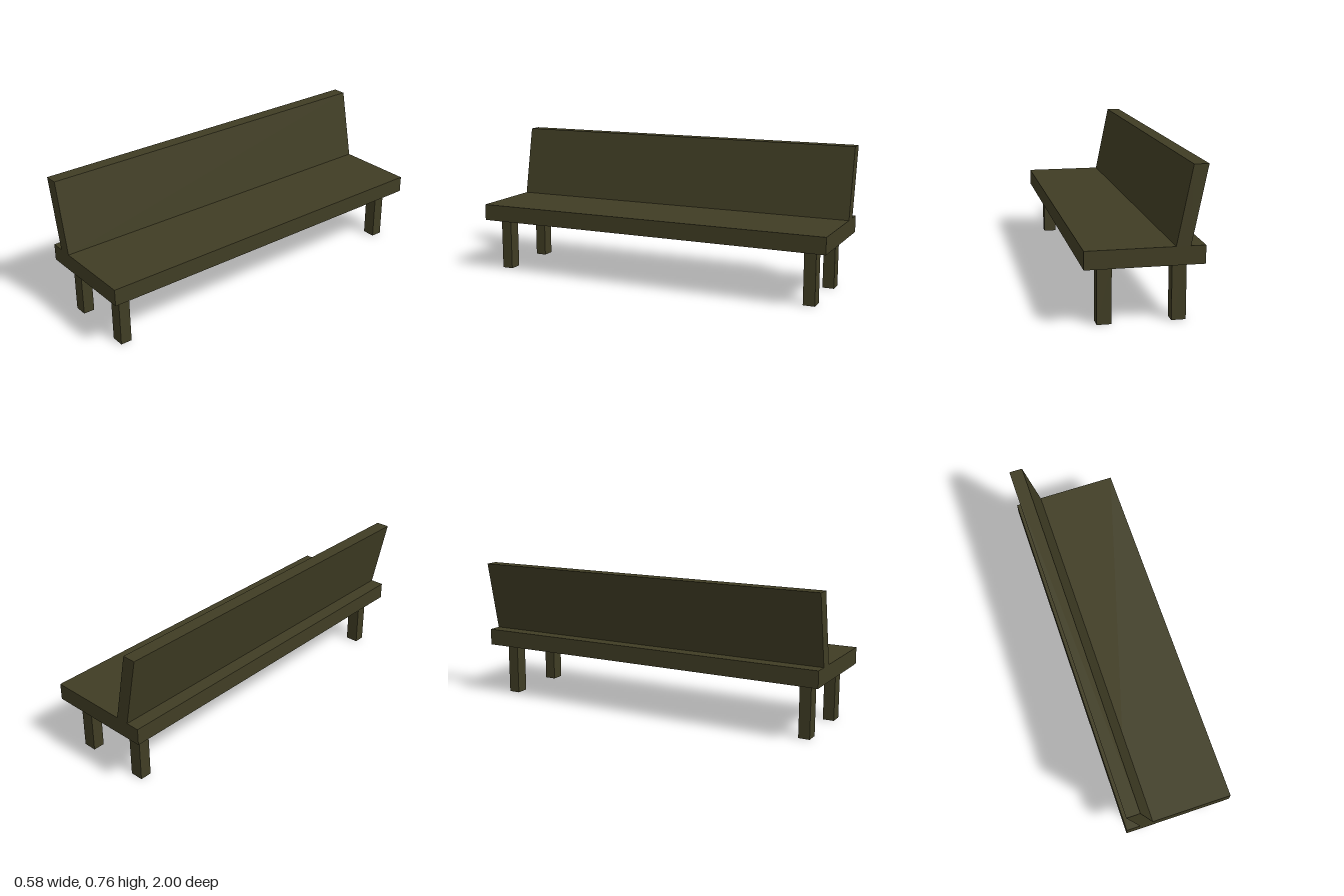
import * as THREE from 'three';

const LENGTH = 2;
const SEAT_BOTTOM = 0.29;
const SEAT_TOP = 0.38;

export function createModel() {
  const bench = new THREE.Group();
  bench.name = 'bench';
  const wood = new THREE.MeshStandardMaterial({ color: 0x403d24, flatShading: true });

  const add = (name, geometry) => {
    const mesh = new THREE.Mesh(geometry, wood);
    mesh.name = name;
    bench.add(mesh);
  };

  // Box given by its limits on each axis
  const block = (name, [x0, x1], [y0, y1], [z0, z1]) => {
    const geometry = new THREE.BoxGeometry(x1 - x0, y1 - y0, z1 - z0);
    geometry.translate((x0 + x1) / 2, (y0 + y1) / 2, (z0 + z1) / 2);
    add(name, geometry);
  };

  // Seat slab
  block('seat', [-0.286, 0.291], [SEAT_BOTTOM, SEAT_TOP], [-LENGTH / 2, LENGTH / 2]);

  // Leaning backrest: a slanted profile run along the bench
  const profile = new THREE.Shape([
    new THREE.Vector2(-0.213, SEAT_TOP),
    new THREE.Vector2(-0.142, SEAT_TOP),
    new THREE.Vector2(-0.22, 0.763),
    new THREE.Vector2(-0.292, 0.763),
  ]);
  const backrest = new THREE.ExtrudeGeometry(profile, { depth: LENGTH, bevelEnabled: false });
  backrest.translate(0, 0, -LENGTH / 2);
  add('backrest', backrest);

  // Four legs: two under the backrest, two under the seat edge
  const rows = { backrestLeg: [-0.213, -0.142], seatEdgeLeg: [0.147, 0.219] };
  const ends = { Front: [0.878, 0.939], Rear: [-0.932, -0.869] };
  for (const [row, x] of Object.entries(rows)) {
    for (const [end, z] of Object.entries(ends)) {
      block(row + end, x, [0, SEAT_BOTTOM], z);
    }
  }

  return bench;
}
